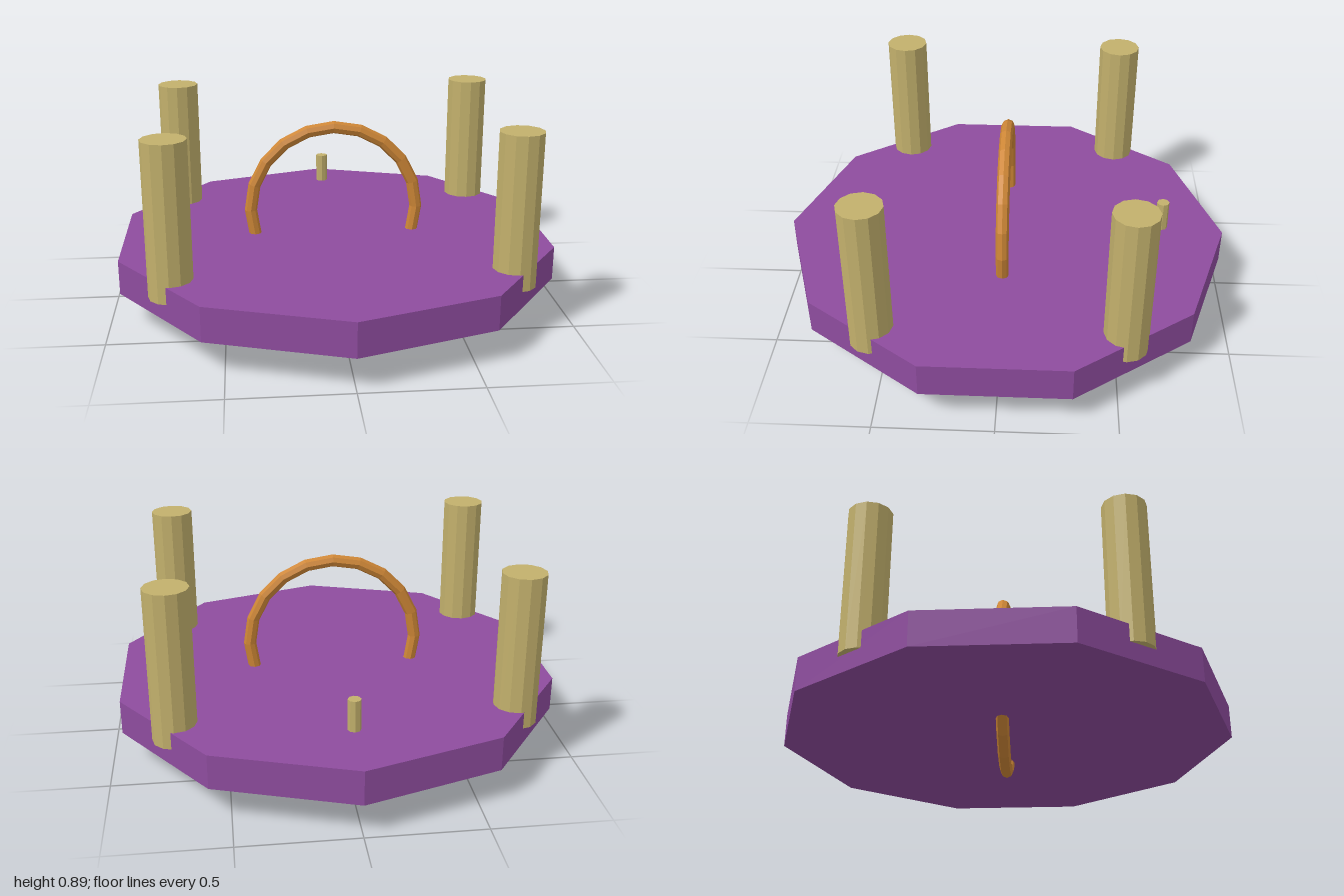
import * as THREE from 'three';

const flat = (geometry) => {
  const g = geometry.toNonIndexed();
  g.computeVertexNormals();
  return g;
};

export function createModel() {
  const model = new THREE.Group();
  model.name = 'ringPlatform';

  const material = (name, color) => {
    const m = new THREE.MeshStandardMaterial({ color });
    m.name = name;
    return m;
  };
  const purple = material('purple', 0x8e4c9e);
  const sand = material('sand', 0xc2b06c);
  const bronze = material('bronze', 0xcd8636);

  const add = (name, geometry, mat, x, y, z) => {
    const mesh = new THREE.Mesh(flat(geometry), mat);
    mesh.name = name;
    mesh.position.set(x, y, z);
    model.add(mesh);
  };

  // Ten-sided platform with corners pointing to the front and back
  add('platform', new THREE.CylinderGeometry(1, 1, 0.15, 10), purple, 0, 0.225, 0);

  // Four posts sunk halfway into the platform's rim
  for (const [side, sx] of [['Left', 1], ['Right', -1]]) {
    for (const [end, sz] of [['front', 1], ['back', -1]]) {
      add(`${end}${side}Post`, new THREE.CylinderGeometry(0.094, 0.094, 0.665, 12),
        sand, sx * 0.716, 0.5575, sz * 0.523);
    }
  }

  // Upright ring passing through the platform
  add('ring', new THREE.TorusGeometry(0.379, 0.028, 8, 20), bronze, 0, 0.411, 0);

  // Small peg hovering near the back
  add('peg', new THREE.CylinderGeometry(0.028, 0.028, 0.135, 8), sand, 0, 0.393, -0.716);

  return model;
}
